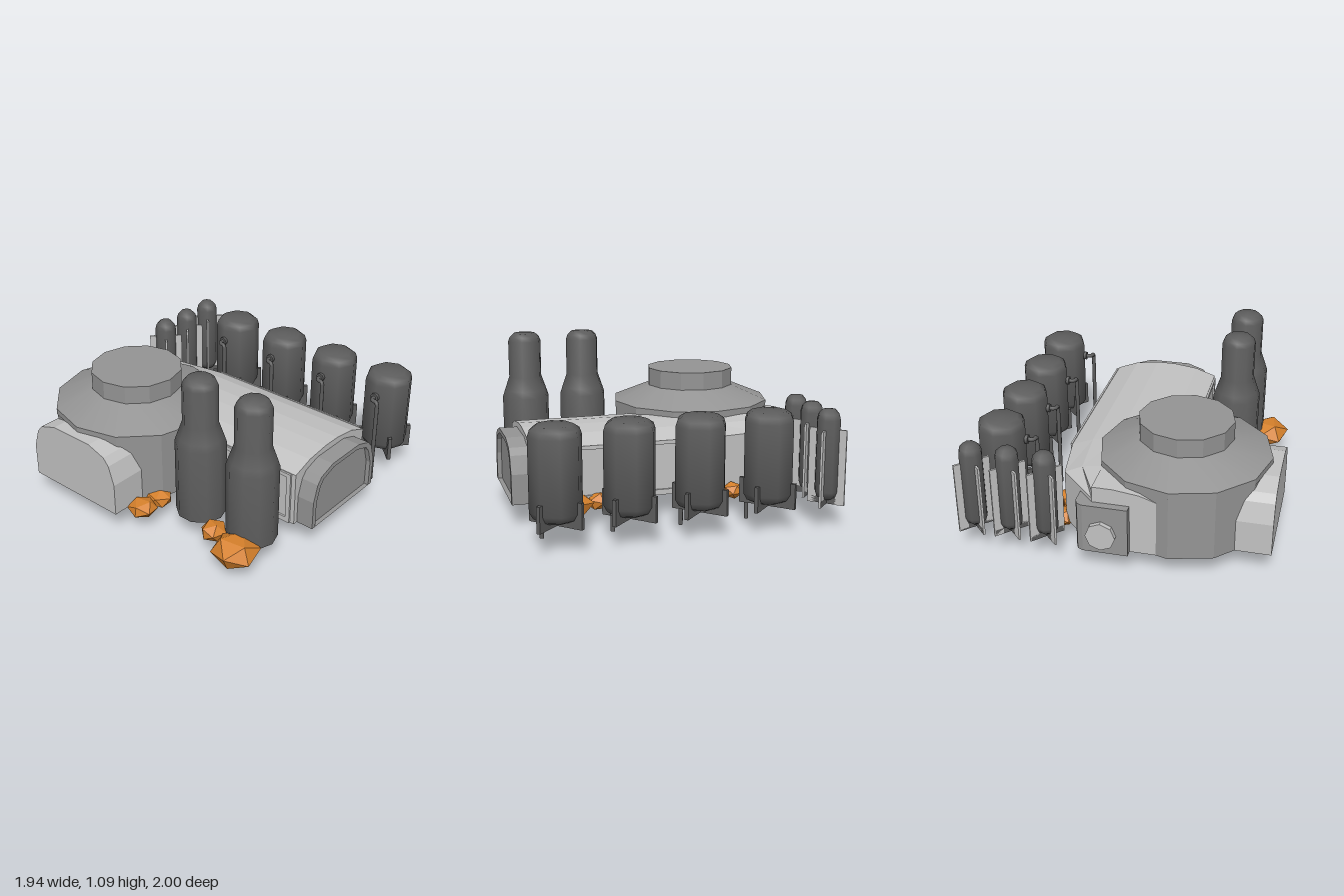
import * as THREE from 'three';
import { toCreasedNormals } from 'three/addons/utils/BufferGeometryUtils.js';

const mat = (name, color, extra = {}) => {
  const m = new THREE.MeshStandardMaterial({ color, ...extra });
  m.name = name;
  return m;
};

export function createModel() {
  const root = new THREE.Group();
  root.name = 'industrialBase';
  const light = mat('light grey', 0xc2c2c2, { side: THREE.DoubleSide, flatShading: true });
  const mid = mat('mid grey', 0x949494);
  const dark = mat('dark grey', 0x5c5c5c);
  const orange = mat('orange rock', 0xd5802b, { flatShading: true });
  const FLOOR = 0.145;

  const add = (name, geo, material, x = 0, y = 0, z = 0, parent = root) => {
    const m = new THREE.Mesh(geo, material);
    m.name = name;
    m.position.set(x, y, z);
    parent.add(m);
    return m;
  };
  const shapeOf = (pts) => new THREE.Shape(pts.map(([x, y]) => new THREE.Vector2(x, y)));
  const extrude = (shape, depth) => new THREE.ExtrudeGeometry(shape, { depth, bevelEnabled: false });
  const lathe = (pts, sides, crease = 0.9) => toCreasedNormals(
    new THREE.LatheGeometry(pts.map(([r, y]) => new THREE.Vector2(r, y)), sides), crease);

  // Faceted arch outline standing on the floor, w = half width, top = crown height
  const arch = (w, top) => {
    const h = top - FLOOR;
    const half = [[1, 0], [1, 0.5], [0.89, 0.79], [0.78, 0.9], [0.43, 1]];
    const right = half.map(([a, b]) => [a * w, FLOOR + b * h]);
    return [...right, ...right.map(([a, b]) => [-a, b]).reverse()];
  };

  // Main hall: open-bottomed loft with the rear right corner cut back
  const section = (R) => {
    const k = Math.min(0.1, R);
    return [[-0.33, FLOOR], [-0.33, 0.505], [-0.19, 0.552], [-0.03, 0.572], [k, 0.572],
      [k + (R - k) * 0.53, 0.55], [R, 0.495], [R, FLOOR]];
  };
  const stations = [[0.88, 0.4], [-0.33, 0.4], [-0.67, 0.345], [-0.92, 0.1]];
  const pos = [];
  for (let i = 0; i < stations.length - 1; i++) {
    const [z0, r0] = stations[i], [z1, r1] = stations[i + 1];
    const a = section(r0), b = section(r1);
    for (let j = 0; j < a.length - 1; j++) {
      const p = [...a[j], z0], q = [...a[j + 1], z0], r = [...b[j + 1], z1], s = [...b[j], z1];
      pos.push(...p, ...q, ...r, ...p, ...r, ...s);
    }
  }
  const hallGeo = new THREE.BufferGeometry();
  hallGeo.setAttribute('position', new THREE.Float32BufferAttribute(pos, 3));
  hallGeo.computeVertexNormals();
  // Winding check: the strip runs left wall, roof, right wall with outward normals
  add('hall', hallGeo, light);
  add('hallFrontWall', new THREE.ShapeGeometry(shapeOf(section(0.4))), light, 0, 0, 0.88);
  add('hallBackWall', new THREE.ShapeGeometry(shapeOf(section(0.1).slice(0, 5).concat([[0.1, FLOOR]]))),
    light, 0, 0, -0.92);

  // Raised frames on both long walls
  const frame = shapeOf([[-0.85, FLOOR], [0.33, FLOOR], [0.33, 0.5], [-0.85, 0.5]]);
  frame.holes.push(new THREE.Path([[-0.82, 0.18], [-0.82, 0.475], [0.31, 0.475], [0.31, 0.18]]
    .map(([x, y]) => new THREE.Vector2(x, y))));
  for (const x of [0.4, -0.342]) {
    add('wallFrame', extrude(frame, 0.012), light, x, 0, 0).rotation.y = Math.PI / 2;
  }

  // Arched front gate: a deep surround with a recessed door
  const gate = shapeOf(arch(0.33, 0.53));
  gate.holes.push(new THREE.Path(arch(0.297, 0.5).map(([x, y]) => new THREE.Vector2(x, y))));
  add('gateSurround', extrude(gate, 0.115), mid, 0.033, 0, 0.88);
  add('gateDoor', extrude(shapeOf(arch(0.3, 0.502)), 0.085), mid, 0.033, 0, 0.88);

  // Round drum with conical roof and flat cap
  add('drum', lathe([[0, FLOOR], [0.54, FLOOR], [0.54, 0.57], [0.545, 0.57], [0.545, 0.61],
    [0.3, 0.71], [0.3, 0.83], [0, 0.83]], 12, 0.35), mid, -0.367, 0, -0.4);

  // Arched side wing running into the drum
  add('sideWing', extrude(shapeOf(arch(0.367, 0.575)), 0.5), light, -0.97, 0, -0.393)
    .rotation.y = Math.PI / 2;

  // Rear annex with rounded corner and octagonal hatch
  const annex = extrude(shapeOf([[-0.13, 0.8], [0.2, 0.8], [0.2, 0.92], [0.185, 0.955],
    [0.15, 0.97], [-0.13, 0.97]]), 0.325);
  annex.rotateX(-Math.PI / 2);
  add('rearAnnex', annex, mid, 0, FLOOR, 0);
  const hatch = new THREE.CylinderGeometry(0.093, 0.093, 0.06, 8);
  hatch.rotateX(Math.PI / 2);
  add('rearHatch', toCreasedNormals(hatch, 0.5), light, 0.033, 0.277, -0.97);

  // Two tall towers
  const towerGeo = lathe([[0, FLOOR], [0.16, FLOOR], [0.16, 0.645], [0.145, 0.69], [0.112, 0.785],
    [0.112, 1.03], [0.1, 1.06], [0.075, 1.083], [0, 1.09]], 10);
  for (const z of [0.335, 0.74]) add('tower', towerGeo, dark, -0.57, 0, z);

  // Four large tanks on crossed legs, each with a feed pipe
  const tankGeo = lathe([[0, 0.175], [0.1, 0.178], [0.135, 0.195], [0.158, 0.235], [0.158, 0.68],
    [0.145, 0.718], [0.11, 0.742], [0, 0.747]], 8);
  const pipePath = new THREE.CurvePath();
  const bends = [[-0.213, 0, 0.05], [-0.213, 0.585, 0.05], [-0.213, 0.6, 0.035], [-0.213, 0.6, 0.015],
    [-0.2, 0.6, 0], [-0.14, 0.6, 0]].map((p) => new THREE.Vector3(...p));
  for (let i = 1; i < bends.length; i++) pipePath.add(new THREE.LineCurve3(bends[i - 1], bends[i]));
  const pipeGeo = new THREE.TubeGeometry(pipePath, 50, 0.014, 8);
  const flangeGeo = new THREE.CylinderGeometry(0.03, 0.03, 0.02, 8);
  flangeGeo.rotateZ(Math.PI / 2);
  for (const z of [-0.508, -0.07, 0.367, 0.806]) {
    const tank = new THREE.Group();
    tank.name = 'largeTank';
    tank.position.set(0.808, 0, z);
    root.add(tank);
    add('tankBody', tankGeo, dark, 0, 0, 0, tank);
    for (let i = 0; i < 4; i++) {
      const a = Math.PI / 4 + i * Math.PI / 2;
      add('tankLeg', new THREE.BoxGeometry(0.055, 0.16, 0.024), dark,
        Math.cos(a) * 0.155, 0.225, -Math.sin(a) * 0.155, tank).rotation.y = a;
      if (i < 2) add('tankCrossBeam', new THREE.BoxGeometry(0.36, 0.045, 0.022), dark,
        0, 0.168, 0, tank).rotation.y = a;
    }
    add('feedPipe', pipeGeo, dark, 0, 0, 0, tank);
    add('pipeFlange', flangeGeo, dark, -0.165, 0.6, 0, tank);
  }

  // Three slim tanks held by tall diagonal fins
  const slimGeo = lathe([[0, 0.175], [0.04, 0.178], [0.065, 0.2], [0.075, 0.23], [0.075, 0.68],
    [0.065, 0.715], [0.04, 0.74], [0, 0.746]], 8);
  for (const x of [0.407, 0.64, 0.873]) {
    const tank = new THREE.Group();
    tank.name = 'slimTank';
    tank.position.set(x, 0, -0.872);
    root.add(tank);
    add('slimBody', slimGeo, dark, 0, 0, 0, tank);
    for (let i = 0; i < 4; i++) {
      const a = Math.PI / 4 + i * Math.PI / 2;
      add('slimFin', new THREE.BoxGeometry(0.06, 0.475, 0.014), light,
        Math.cos(a) * 0.087, 0.382, -Math.sin(a) * 0.087, tank).rotation.y = a;
      if (i < 2) add('slimCrossBeam', new THREE.BoxGeometry(0.22, 0.04, 0.014), dark,
        0, 0.166, 0, tank).rotation.y = a;
    }
  }

  // Rock clusters: centre x, y, z then half sizes
  const rocks = [
    [-0.76, 0.148, 0.77, 0.15, 0.1, 0.155], [-0.7, 0.15, 0.55, 0.09, 0.065, 0.085],
    [-0.8, 0.14, 0.04, 0.095, 0.06, 0.1], [-0.65, 0.14, 0.04, 0.09, 0.06, 0.1],
    [0.44, 0.145, 0.66, 0.16, 0.095, 0.165], [0.4, 0.14, 0.46, 0.085, 0.06, 0.085],
    [0.48, 0.14, -0.57, 0.105, 0.075, 0.12], [0.38, 0.15, -0.65, 0.09, 0.065, 0.085],
    [0.43, 0.14, -0.43, 0.075, 0.055, 0.07],
  ];
  rocks.forEach(([x, y, z, a, b, c], i) => {
    const g = new THREE.IcosahedronGeometry(1, 0);
    g.rotateX(i * 1.3 + 0.4);
    g.rotateY(i * 2.1 + 0.7);
    g.scale(a, b, c);
    g.computeVertexNormals();
    add('rock', g, orange, x, y, z);
  });
  return root;
}
